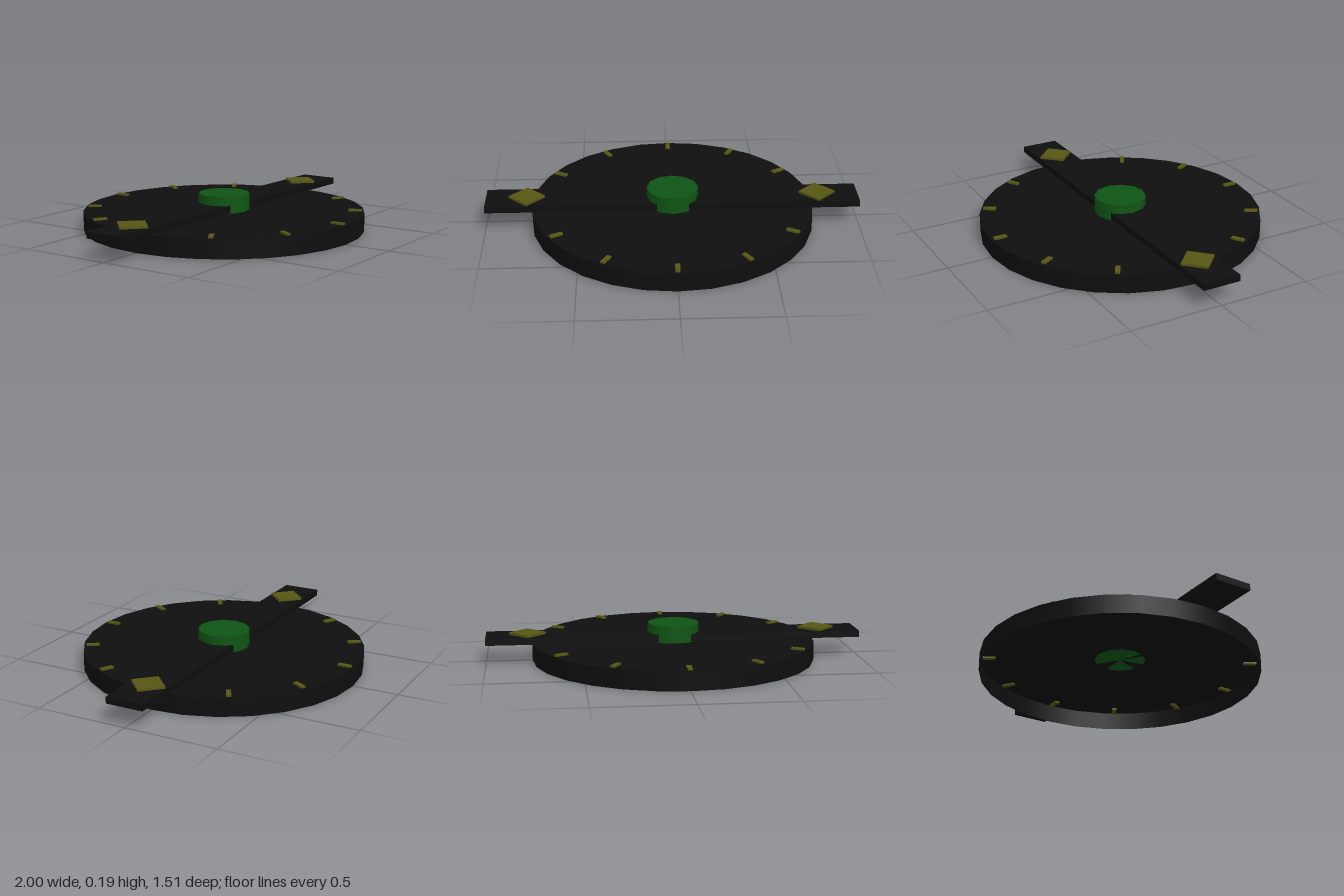
import * as THREE from 'three';

const mat = (color, extra = {}) => new THREE.MeshStandardMaterial({ color, ...extra });

export function createModel() {
  const model = new THREE.Group();
  const black = mat(0x0e0e0e);
  const shell = mat(0x0e0e0e, { side: THREE.DoubleSide });
  const green = mat(0x0f5514);
  const olive = mat(0x565614);

  const add = (name, geometry, material, x, y, z, turn = 0) => {
    const mesh = new THREE.Mesh(geometry, material);
    mesh.name = name;
    mesh.position.set(x, y, z);
    mesh.rotation.y = turn;
    model.add(mesh);
    return mesh;
  };

  // Dial: a shallow drum, open underneath
  const R = 0.755, sides = 28, top = 0.1;
  add('dialWall', new THREE.CylinderGeometry(R, R, top, sides, 1, true), shell, 0, top / 2, 0);
  const face = new THREE.CircleGeometry(R, sides).rotateX(-Math.PI / 2);
  add('dialFace', face, shell, 0, top, 0);

  // Twelve hour marks, set through the face
  const mark = new THREE.BoxGeometry(0.025, 0.02, 0.07);
  for (let i = 0; i < 12; i++) {
    const a = (i * Math.PI) / 6;
    add('hourMark', mark, olive, Math.sin(a) * 0.705, top, Math.cos(a) * 0.705, a);
  }

  // Strap across the dial
  add('strap', new THREE.BoxGeometry(2, 0.035, 0.205), black, 0, 0.1225, 0);

  // Diamond studs near the strap ends
  const stud = new THREE.BoxGeometry(0.138, 0.02, 0.138);
  for (const s of [-1, 1]) add('diamondStud', stud, olive, s * 0.78, 0.143, 0, Math.PI / 4);

  // Central knob
  add('knob', new THREE.CylinderGeometry(0.138, 0.138, 0.09, 12), green, 0, 0.145, 0);

  return model;
}
